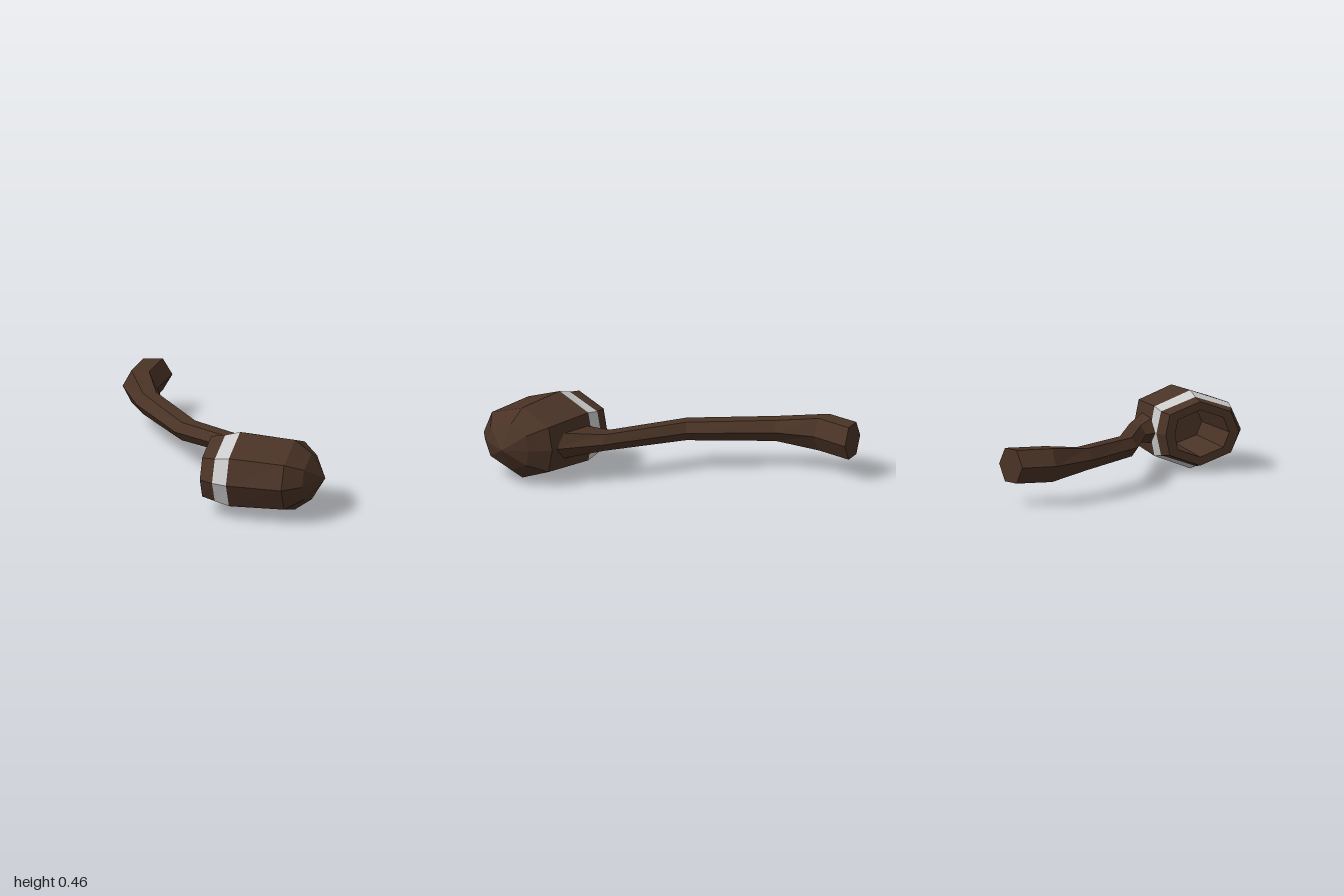
import * as THREE from 'three';

const MID_Y = 0.233;
const wood = new THREE.MeshStandardMaterial({ color: 0x4a3326, flatShading: true });
const metal = new THREE.MeshStandardMaterial({ color: 0xcccccc, flatShading: true });

// Skin a list of equal-length rings, optionally closing the first and last ring
function loft(name, rings, material, { start, end } = {}) {
  const n = rings[0].length;
  const pos = [];
  const tri = (...pts) => pts.forEach((p) => pos.push(p.x, p.y, p.z));
  for (let k = 0; k < rings.length - 1; k++) {
    const a = rings[k], b = rings[k + 1];
    for (let i = 0; i < n; i++) {
      const j = (i + 1) % n;
      tri(a[i], b[i], b[j]);
      tri(a[i], b[j], a[j]);
    }
  }
  const first = rings[0], last = rings[rings.length - 1];
  for (let i = 0; i < n; i++) {
    const j = (i + 1) % n;
    if (start) tri(start, first[i], first[j]);
    if (end) tri(end, last[j], last[i]);
  }
  const geometry = new THREE.BufferGeometry();
  geometry.setAttribute('position', new THREE.Float32BufferAttribute(pos, 3));
  geometry.computeVertexNormals();
  const mesh = new THREE.Mesh(geometry, material);
  mesh.name = name;
  return mesh;
}

// Bowl space: s runs along the tilted bowl axis, t across it, h up
function bowlPoint(s, t, h) {
  return new THREE.Vector3(0.02 + 0.966 * s - 0.257 * t, MID_Y + h, 0.61 + 0.257 * s + 0.966 * t);
}

// Flattened octagon across the bowl axis
function bowlRing(s, front, back, up) {
  const d = up * 0.635;
  return [
    [front, 0], [front * 0.79, d], [0, up], [-back * 0.88, d],
    [-back, 0], [-back * 0.88, -d], [0, -up], [front * 0.79, -d],
  ].map(([t, h]) => bowlPoint(s, t, h));
}

// Hexagon with a flat top, given its left and right corners seen from above
function stemRing([lx, lz, rx, rz, h]) {
  return [[0, 0], [0.25, h], [0.75, h], [1, 0], [0.75, -h], [0.25, -h]].map(
    ([f, y]) => new THREE.Vector3(lx + (rx - lx) * f, MID_Y + y, lz + (rz - lz) * f));
}

export function createModel() {
  const group = new THREE.Group();
  group.name = 'smokingPipe';

  const bandStart = bowlRing(0, 0.28, 0.24, 0.203);
  const bandEnd = bowlRing(0.09, 0.3, 0.25, 0.23);

  // Hollow chamber, flat rim and outer lip
  group.add(loft('bowlRimAndChamber', [
    bowlRing(0.34, 0.16, 0.14, 0.12),
    bowlRing(-0.085, 0.18, 0.155, 0.138),
    bowlRing(-0.085, 0.24, 0.212, 0.188),
    bandStart,
  ], wood, { start: bowlPoint(0.34, 0, 0) }));

  // Metal band
  group.add(loft('bowlBand', [bandStart, bandEnd], metal));

  // Bowl body closing to a blunt point
  group.add(loft('bowlBody', [
    bandEnd,
    bowlRing(0.422, 0.295, 0.228, 0.214),
    bowlRing(0.522, 0.2, 0.13, 0.142),
  ], wood, { end: bowlPoint(0.606, 0.004, -0.003) }));

  // Bent stem from the mouthpiece to its flared joint in the bowl
  const stem = [
    [-0.545, -0.99, -0.32, -1.0, 0.098],
    [-0.605, -0.795, -0.4, -0.76, 0.098],
    [-0.52, -0.475, -0.365, -0.525, 0.063],
    [-0.285, 0.0, -0.13, -0.065, 0.055],
    [0.08, 0.305, 0.27, 0.28, 0.049],
    [0.11, 0.42, 0.485, 0.525, 0.08],
  ].map(stemRing);
  const centre = (ring) => ring[0].clone().add(ring[3]).multiplyScalar(0.5);
  group.add(loft('stem', stem, wood, { start: centre(stem[0]), end: centre(stem[5]) }));

  return group;
}
